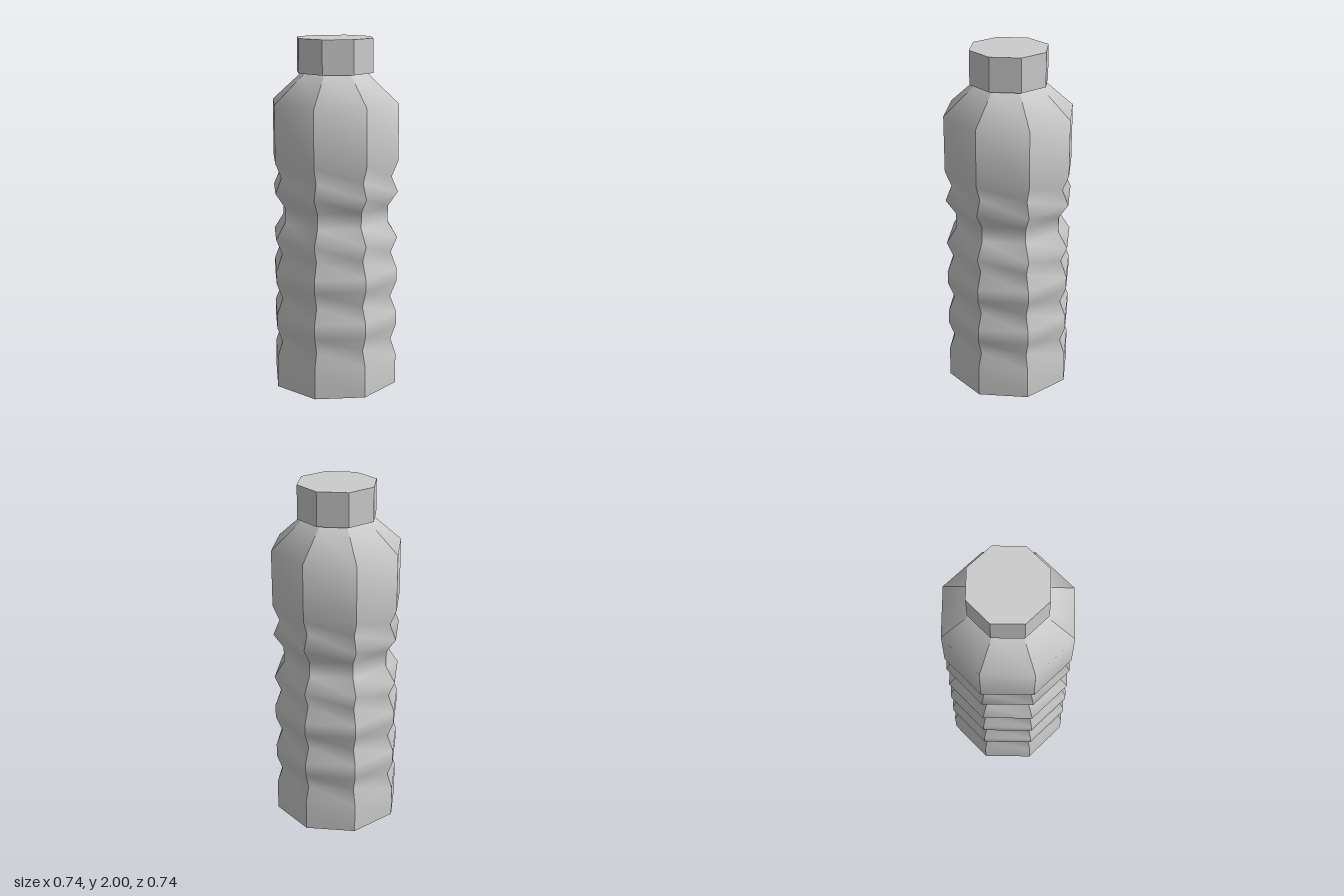
import * as THREE from 'three';
import { mergeGeometries } from 'three/addons/utils/BufferGeometryUtils.js';

const SIDES = 8;
const STEP = (Math.PI * 2) / SIDES;

// Eight-sided turned shape: sharp edges between sides, smooth or flat along the profile.
function facetedLathe(profile, smooth) {
  const points = profile.map(([r, y]) => new THREE.Vector2(r, y));
  const panels = [];
  for (let i = 0; i < SIDES; i++) {
    let panel = new THREE.LatheGeometry(points, 1, i * STEP, STEP);
    if (!smooth) panel = panel.toNonIndexed();
    panel.computeVertexNormals();
    panels.push(panel);
  }
  return mergeGeometries(panels);
}

export function createModel() {
  const group = new THREE.Group();
  const material = new THREE.MeshStandardMaterial({ color: 0xcccccc });
  const add = (name, geometry) => {
    const mesh = new THREE.Mesh(geometry, material);
    mesh.name = name;
    group.add(mesh);
    return mesh;
  };

  // Ribbed wall with a waist grip and a sloping shoulder
  add('body', facetedLathe([
    [0.372, 0], [0.372, 0.18], [0.34, 0.27], [0.372, 0.36],
    [0.372, 0.44], [0.335, 0.53], [0.372, 0.625],
    [0.372, 0.7], [0.335, 0.795], [0.372, 0.885],
    [0.315, 0.975], [0.315, 1.065], [0.372, 1.15],
    [0.335, 1.235], [0.372, 1.325], [0.372, 1.645], [0.188, 1.81],
  ], true));

  // Underside: dished centre with a narrow standing rim
  add('base', facetedLathe([[0, 0.1], [0.07, 0.1], [0.345, 0.015], [0.352, 0], [0.372, 0]], false));

  // Screw cap, wider than the neck
  const cap = add('cap', facetedLathe([[0, 0], [0.223, 0], [0.223, 0.19], [0, 0.19]], false));
  cap.position.y = 1.81;

  return group;
}
